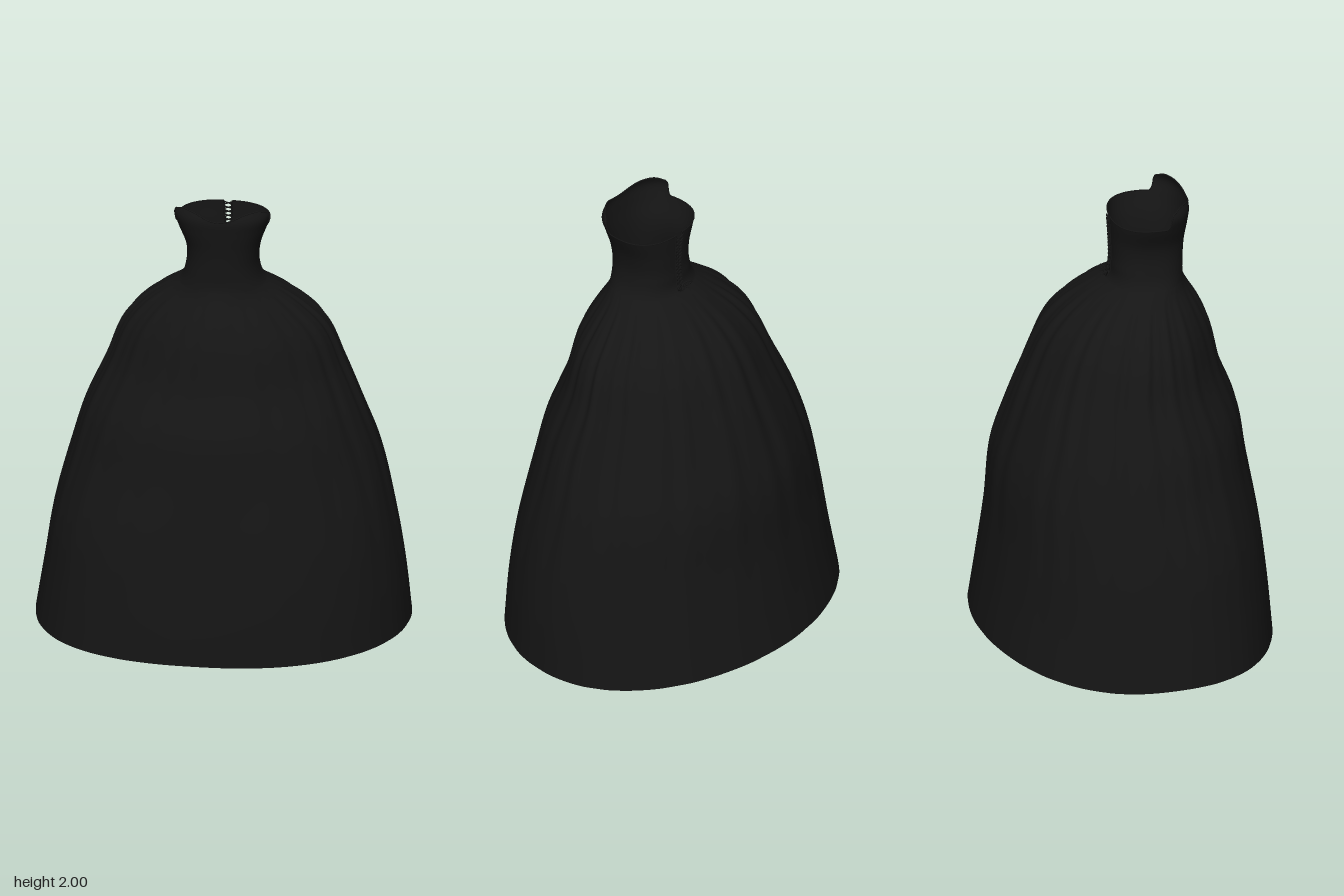
import * as THREE from 'three';

const { smoothstep, lerp } = THREE.MathUtils;

// Cross-sections: height, then x min, x max, z back, z front
const LEVELS = [
  [0.00, -0.81, 0.81, -0.645, 0.640],
  [0.25, -0.77, 0.785, -0.605, 0.620],
  [0.50, -0.73, 0.745, -0.570, 0.590],
  [0.80, -0.65, 0.675, -0.540, 0.540],
  [1.00, -0.59, 0.605, -0.480, 0.512],
  [1.20, -0.50, 0.525, -0.405, 0.440],
  [1.40, -0.415, 0.44, -0.310, 0.390],
  [1.50, -0.33, 0.345, -0.222, 0.345],
  [1.57, -0.245, 0.26, -0.130, 0.305],
  [1.62, -0.18, 0.195, -0.050, 0.283],
  [1.70, -0.15, 0.165, -0.030, 0.281],
  [1.80, -0.148, 0.172, -0.030, 0.288],
  [1.90, -0.185, 0.206, -0.035, 0.302],
  [1.96, -0.202, 0.226, -0.035, 0.306],
  [2.00, -0.192, 0.215, -0.035, 0.290],
];
const profile = new THREE.CubicInterpolant(
  LEVELS.map((l) => l[0]), LEVELS.flatMap((l) => l.slice(1)), 4);

const WAIST = 1.62;
const BACK = -Math.PI / 2;
const GAP = 0.055;

// Gathers spring from the waist and fade toward the hem; the front panel is calmer
function folds(a, y) {
  const fade = smoothstep(WAIST - y, 0, 0.14) * lerp(0.12, 1, smoothstep(y, 0.1, 1.4));
  const calm = lerp(1, 0.3, smoothstep(Math.sin(a), 0.3, 0.95));
  const gathers = 0.005 * Math.sin(23 * a + 1.6 * Math.sin(3 * a + 1))
    + 0.003 * Math.sin(37 * a + 2 * Math.sin(2 * a));
  const sway = 0.004 * Math.sin(7 * a + 4 * y) * Math.sin(5 * y + 2 * a);
  return fade * (calm * gathers + sway);
}

// Point on the gown at angle a (0 = left side, 90 degrees = front) and height y
function gownPoint(a, y, offset = 0) {
  const [x0, x1, z0, z1] = profile.evaluate(y);
  const c = Math.cos(a), s = Math.sin(a);
  // Roundness: fuller front corner at the hem, sloping shoulders, squarer bodice
  const hemPower = s < 0 ? 1.93 : c < 0 ? 2.55 : 2.12;
  const skirtPower = lerp(hemPower, 1.85, smoothstep(y, 0.4, 1.4));
  const n = lerp(skirtPower, 2.4, smoothstep(y, 1.57, 1.65));
  const bend = (v) => Math.sign(v) * Math.abs(v) ** (2 / n);
  const r = folds(a, y) + offset;
  return new THREE.Vector3(
    (x0 + x1) / 2 + ((x1 - x0) / 2 + r) * bend(c), y,
    (z0 + z1) / 2 + ((z1 - z0) / 2 + r) * bend(s));
}

// Inner panel: follows the bodice at its ends and bows inward behind the lacing
const PANEL_REACH = 0.9;
function panelPoint(a, y) {
  const point = gownPoint(a, y);
  const u = (a - BACK) / PANEL_REACH;
  point.z += (1 - u * u) * lerp(0.05, 0.032, smoothstep(y, 1.64, 1.75));
  return point;
}

// Sweetheart neckline: two raised cups in front, low straight edge behind
function neckline(a) {
  const s = Math.sin(a), c = Math.cos(a);
  const cup = smoothstep(s, 0.24, 0.38) * 0.068 + smoothstep(s, 0.35, 0.7) * 0.018;
  const dip = s > 0 ? 0.036 * Math.exp(-((c / 0.36) ** 2)) : 0;
  return 1.912 + cup - dip;
}

// Hem rises slightly at the back
const hem = (a) => 0.005 + 0.035 * Math.max(0, -Math.sin(a)) ** 3;

// Surface from cross-section loops between two height rules
function loft(cols, rows, from, to, bottom, top, closed, place = gownPoint) {
  const positions = [], index = [];
  const stride = closed ? cols : cols + 1;
  for (let j = 0; j <= rows; j++) {
    for (let i = 0; i < stride; i++) {
      const a = lerp(from, to, i / cols);
      positions.push(...place(a, lerp(bottom(a), top(a), j / rows)).toArray());
    }
  }
  for (let j = 0; j < rows; j++) {
    for (let i = 0; i < cols; i++) {
      const p = j * stride + i, q = j * stride + (i + 1) % stride;
      index.push(p, p + stride, q, q, p + stride, q + stride);
    }
  }
  const geometry = new THREE.BufferGeometry();
  geometry.setAttribute('position', new THREE.Float32BufferAttribute(positions, 3));
  geometry.setIndex(index);
  geometry.computeVertexNormals();
  return geometry;
}

export function createModel() {
  const gown = new THREE.Group();
  gown.name = 'gown';
  const cloth = new THREE.MeshStandardMaterial({ color: 0x151515, side: THREE.DoubleSide });

  function add(name, geometry, parent = gown) {
    const mesh = new THREE.Mesh(geometry, cloth);
    mesh.name = name;
    parent.add(mesh);
    return mesh;
  }
  function cord(name, points, radius, parent, closed = false) {
    const path = new THREE.CatmullRomCurve3(points, closed);
    return add(name, new THREE.TubeGeometry(path, points.length * 4, radius, 6, closed), parent);
  }

  // Full skirt
  add('skirt', loft(240, 80, BACK, BACK + 2 * Math.PI, hem, () => WAIST, true));

  // Bodice, split down the centre back
  const start = BACK + GAP, end = BACK + 2 * Math.PI - GAP;
  add('bodice', loft(160, 28, start, end, () => WAIST - 0.01, neckline, false));

  // Panel behind the lower lacing
  add('innerPanel', loft(40, 6, BACK - PANEL_REACH, BACK + PANEL_REACH,
    () => 1.64, () => 1.75, false, panelPoint));

  // Piping along the neckline
  const rim = [];
  for (let i = 0; i <= 96; i++) {
    const a = lerp(start, end, i / 96);
    rim.push(gownPoint(a, neckline(a)));
  }
  cord('necklinePiping', rim, 0.003, gown);

  // Back closure: finished edges, crossed laces and a small bow
  const closure = new THREE.Group();
  closure.name = 'backLacing';
  gown.add(closure);
  for (const side of [-1, 1]) {
    const edge = [], lace = [];
    for (let i = 0; i <= 8; i++) {
      edge.push(gownPoint(BACK + side * GAP, lerp(WAIST, 1.91, i / 8)));
    }
    for (let i = 0; i <= 14; i++) {
      const flip = i % 2 ? -side : side;
      lace.push(gownPoint(BACK + flip * GAP * 1.3, lerp(1.645, 1.905, i / 14), 0.007));
    }
    cord('closureEdge', edge, 0.004, closure);
    cord('lace', lace, 0.003, closure);

    const at = (x, y, z) => new THREE.Vector3(0.007 + side * x, y, z);
    cord('bowLoop', [at(0, 1.65, -0.05), at(0.025, 1.662, -0.06),
      at(0.045, 1.655, -0.066), at(0.025, 1.643, -0.06)], 0.003, closure, true);
    cord('bowTail', [at(0, 1.65, -0.05), at(0.012, 1.642, -0.064),
      at(0.022, 1.638, -0.075)], 0.003, closure);
  }
  const knot = add('bowKnot', new THREE.SphereGeometry(0.007, 12, 8), closure);
  knot.position.set(0.007, 1.65, -0.052);

  return gown;
}
